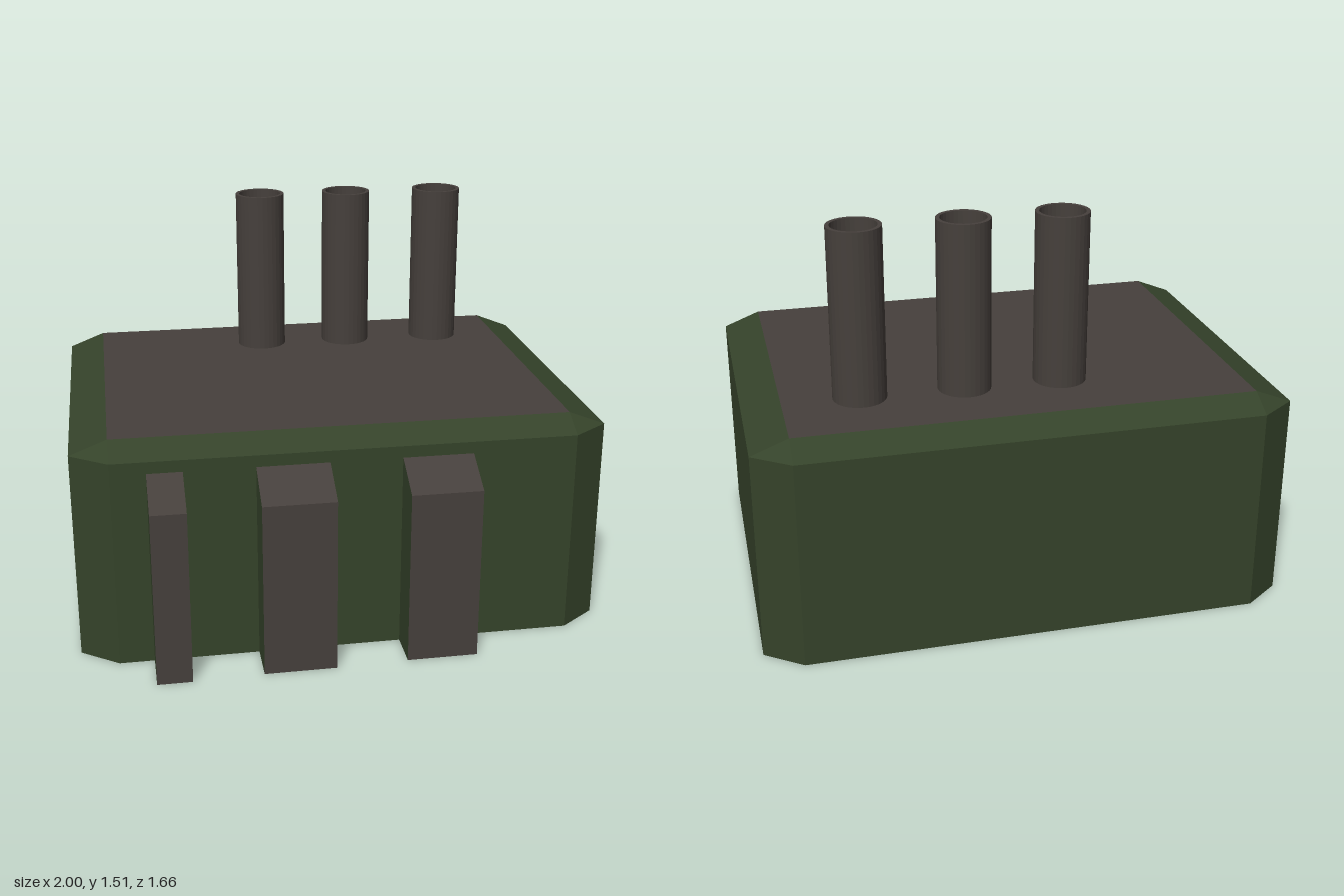
import * as THREE from 'three';

const green = new THREE.MeshStandardMaterial({ color: 0x35432a });
const brown = new THREE.MeshStandardMaterial({ color: 0x46403c });
const brownOpen = new THREE.MeshStandardMaterial({ color: 0x46403c, side: THREE.DoubleSide });

const FRONT = 0.66, BACK = -0.83, SHOULDER = 0.8, TOP = 0.855;

// Eight corners in plan; the inner rim shares them pulled in to a rectangle
const outline = [
  [0.86, FRONT], [1, 0.56], [1, -0.73], [0.86, BACK],
  [-0.86, BACK], [-1, -0.73], [-1, 0.56], [-0.86, FRONT],
];
const inner = outline.map(([x, z]) => [Math.sign(x) * 0.86, z > 0 ? 0.56 : -0.73]);

// Flat-sided shell through horizontal loops, with the bottom closed
function hullGeometry(loops) {
  const pos = [];
  const n = loops[0].length;
  for (let k = 0; k < loops.length - 1; k++) {
    for (let i = 0; i < n; i++) {
      const j = (i + 1) % n;
      const a = loops[k][i], b = loops[k][j], c = loops[k + 1][j], d = loops[k + 1][i];
      pos.push(...a, ...b, ...c);
      if (Math.hypot(c[0] - d[0], c[2] - d[2]) > 1e-6) pos.push(...a, ...c, ...d);
    }
  }
  for (let i = 1; i < n - 1; i++) pos.push(...loops[0][0], ...loops[0][i + 1], ...loops[0][i]);
  const g = new THREE.BufferGeometry();
  g.setAttribute('position', new THREE.Float32BufferAttribute(pos, 3));
  g.computeVertexNormals();
  return g;
}

function addMesh(group, name, geometry, material, x = 0, y = 0, z = 0) {
  const mesh = new THREE.Mesh(geometry, material);
  mesh.name = name;
  mesh.position.set(x, y, z);
  group.add(mesh);
  return mesh;
}

// Front buttress: side profile extruded across its width, green sides and brown face
function buttressGeometry(width, outerZ) {
  const profile = new THREE.Shape();
  profile.moveTo(-FRONT + 0.02, 0);
  profile.lineTo(-FRONT + 0.02, 0.765);
  profile.lineTo(-FRONT, 0.755);
  profile.lineTo(-outerZ, 0.67);
  profile.lineTo(-outerZ, 0);
  profile.closePath();
  const g = new THREE.ExtrudeGeometry(profile, { depth: width, bevelEnabled: false });
  g.translate(0, 0, -width / 2);
  g.rotateY(Math.PI / 2);
  return g;
}

export function createModel() {
  const model = new THREE.Group();
  model.name = 'building';

  // Chamfered block
  const at = (loop, y) => loop.map(([x, z]) => [x, y, z]);
  addMesh(model, 'body', hullGeometry([at(outline, 0), at(outline, SHOULDER), at(inner, TOP)]), green);

  // Roof panel inside the sloping rim
  const roof = new THREE.PlaneGeometry(1.72, 1.29);
  roof.rotateX(-Math.PI / 2);
  addMesh(model, 'roofPanel', roof, brown, 0, TOP, -0.085);

  // Buttresses along the front: centre x, width, outer z
  for (const [x, width, outerZ] of [[-0.665, 0.13, 0.83], [-0.203, 0.27, 0.82], [0.333, 0.265, 0.81]]) {
    addMesh(model, 'frontButtress', buttressGeometry(width, outerZ), [green, brown], x);
  }

  // Chimneys with a hollow mouth
  const pipe = [[0.1, 0], [0.1, 0.65], [0.085, 0.65], [0.085, 0.54]];
  const wall = new THREE.LatheGeometry(pipe.map(([r, y]) => new THREE.Vector2(r, y)), 32).toNonIndexed();
  wall.computeVertexNormals();
  const cap = new THREE.CircleGeometry(0.1, 32);
  cap.rotateX(Math.PI / 2);
  const floor = new THREE.CircleGeometry(0.085, 32);
  floor.rotateX(-Math.PI / 2);
  for (const x of [-0.18, 0.185, 0.575]) {
    const chimney = new THREE.Group();
    chimney.name = 'chimney';
    chimney.position.set(x, 0.865, -0.46);
    addMesh(chimney, 'pipe', wall, brownOpen);
    addMesh(chimney, 'pipeBase', cap, brown);
    addMesh(chimney, 'pipeFloor', floor, brown, 0, 0.54, 0);
    model.add(chimney);
  }
  return model;
}
